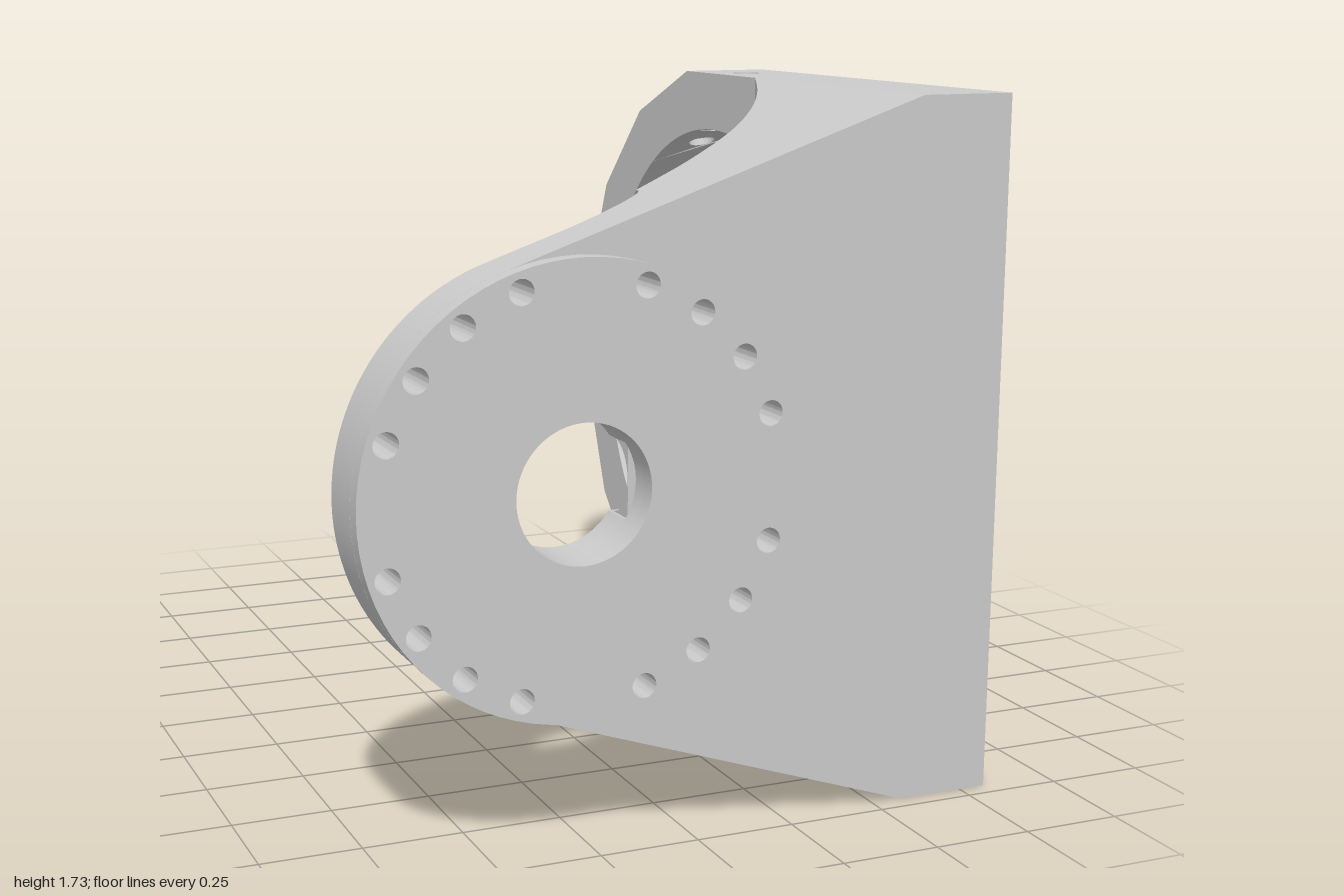
import * as THREE from 'three';
import { toCreasedNormals } from 'three/addons/utils/BufferGeometryUtils.js';
import { ParametricGeometry } from 'three/addons/geometries/ParametricGeometry.js';

const PI = Math.PI;
const H = 0.865;                       // half height
const XO = 0.82, XI = 0.58, XF = 0.77; // side plate: outer face, inner face, pocket floor
const ZB = 0.82, ZF = 0.955;           // front plate: back and front faces
const CX = -0.295, RD = 0.535, RB = 0.165; // flange centre, radius, bore
const CZ = -0.135, RP = 0.71;          // pocket centre and radius
const SLOT = 0.18, SR = 0.08, SZ = 0.585;  // side slot
const GR = 0.09, GZ = 0.912;           // cable groove radius and layer depth
const CAV = 0.65, FR = 0.085;          // cavity half height and fillet
const HALF = PI / 16, T = H * Math.tan(HALF); // half of one rim facet

const tilt = Math.atan2(H, XI - CX) - Math.asin(RD / Math.hypot(H, XI - CX));
const slopeY = (x) => H - (XI - x) * Math.tan(tilt);

const material = new THREE.MeshStandardMaterial({ color: 0xcccccc });
const thin = new THREE.MeshStandardMaterial({ color: 0xcccccc, side: THREE.DoubleSide });

function mesh(name, geometry, mat = material) {
  const m = new THREE.Mesh(geometry, mat);
  m.name = name;
  return m;
}

const extrude = (shape, depth) =>
  new THREE.ExtrudeGeometry(shape, { depth, bevelEnabled: false, curveSegments: 40 });

// Extrude along z between two planes
function alongZ(shape, z0, z1) {
  return toCreasedNormals(extrude(shape, z1 - z0).translate(0, 0, z0), 0.3);
}

// Extrude along x; shape coordinates are (-z, y)
function alongX(shape, x0, x1) {
  return toCreasedNormals(extrude(shape, x1 - x0).rotateY(PI / 2).translate(x0, 0, 0), 0.3);
}

function circle(x, y, r) {
  return new THREE.Path().absarc(x, y, r, 0, PI * 2, false);
}

function addBoltHoles(shape) {
  for (let i = 0; i < 20; i++) {
    if (i % 5 === 0) continue;
    const a = i * PI / 10;
    shape.holes.push(circle(CX + 0.489 * Math.cos(a), 0.489 * Math.sin(a), 0.03));
  }
  return shape;
}

// Front plate outline: flange circle joined tangentially to the side plate
function plateShape(notched) {
  const s = new THREE.Shape();
  s.moveTo(XO, notched ? GR : -H);
  s.lineTo(XO, H);
  s.lineTo(XI, H);
  s.absarc(CX, 0, RD, PI / 2 + tilt, 1.5 * PI - tilt, false);
  s.lineTo(XI, -H);
  if (notched) {
    const b = Math.asin(GR / RB);
    s.lineTo(XO, -H);
    s.lineTo(XO, -GR);
    s.absarc(CX, 0, RB, -b, b, true);
  } else {
    s.holes.push(circle(CX, 0, RB));
  }
  return addBoltHoles(s);
}

function frontPlate() {
  const g = new THREE.Group();
  g.name = 'frontPlate';
  g.add(mesh('groovedLayer', alongZ(plateShape(true), ZB, GZ)));
  g.add(mesh('plateLayer', alongZ(plateShape(false), GZ, ZF)));
  const disc = new THREE.Shape().absarc(CX, 0, RD, 0, PI * 2, false);
  disc.holes.push(circle(CX, 0, RB));
  g.add(mesh('flange', alongZ(addBoltHoles(disc), ZF, 1)));

  // Rounded bed of the cable groove
  const bed = new THREE.Shape();
  bed.moveTo(-ZB, GR);
  bed.lineTo(-GZ, GR);
  bed.lineTo(-GZ, -GR);
  bed.lineTo(-ZB, -GR);
  bed.absarc(-ZB, 0, GR, -PI / 2, -1.5 * PI, true);
  g.add(mesh('cableGroove', alongX(bed, -0.15, XO)));
  return g;
}

// Thin outer wall of the side plate, with slot and round opening
function sideWall() {
  const s = new THREE.Shape();
  const in0 = -ZB + SR, in1 = -SZ - SR, k = SLOT - SR;
  s.moveTo(-ZB, -k);
  s.lineTo(-ZB, -H);
  for (let i = 0; i <= 8; i++) {
    const a = -PI / 2 + HALF + i * PI / 8, r = H / Math.cos(HALF);
    if (i < 8) s.lineTo(-CZ + r * Math.cos(a), r * Math.sin(a));
  }
  s.lineTo(-ZB, H);
  s.lineTo(-ZB, k);
  s.absarc(in0, k, SR, PI, PI / 2, true);
  s.absarc(in1, k, SR, PI / 2, 0, true);
  s.absarc(in1, -k, SR, 0, -PI / 2, true);
  s.absarc(in0, -k, SR, -PI / 2, -PI, true);
  s.holes.push(circle(-CZ, 0, RB));
  return mesh('sideWall', alongX(s, XF, XO));
}

// Solid between pocket, slot and front plate (upper half)
function rimBlock() {
  const s = new THREE.Shape();
  const k = SLOT - SR;
  s.moveTo(-CZ - T, H);
  s.lineTo(-ZB, H);
  s.lineTo(-ZB, k);
  s.absarc(-ZB + SR, k, SR, PI, PI / 2, true);
  s.absarc(-CZ, 0, RP, PI - Math.asin(SLOT / RP), PI / 2 + HALF, true);
  return mesh('rimBlock', alongX(s, XI, XF));
}

// One rim facet: flat outside, curved inside, with a radial hole
function rimFacetGeometry() {
  const pts = [], n = 8;
  for (let i = 0; i <= n; i++) pts.push(new THREE.Vector2(XF, -T + 2 * T * i / n));
  for (let i = n; i >= 0; i--) pts.push(new THREE.Vector2(XI, -T + 2 * T * i / n));
  const s = new THREE.Shape(pts);
  s.holes.push(circle(0.68, 0, 0.037));
  let g = extrude(s, 1);
  const p = g.attributes.position;
  const inner = [];
  for (let i = 0; i < p.count; i++) {
    const v = p.getY(i), isInner = p.getZ(i) < 0.5;
    if (isInner && g.attributes.normal.getZ(i) < -0.5) inner.push(i);
    let t = v, r = H;
    if (isInner) {
      const m = Math.abs(v), e = 0.05, a0 = Math.asin(e / RP);
      const a = m < e ? Math.asin(m / RP) : a0 + (HALF - a0) * (m - e) / (T - e);
      t = Math.sign(v) * RP * Math.sin(a);
      r = RP * Math.cos(a);
    }
    p.setXYZ(i, p.getX(i), r, -t);
  }
  g = toCreasedNormals(g, 0.3);
  const q = g.attributes.position;
  for (const i of inner) g.attributes.normal.setXYZ(i, 0, -q.getY(i) / RP, -q.getZ(i) / RP);
  return g;
}

// Tapered gusset with a swept back edge, plus the cavity fillet (upper half)
function gusset() {
  const g = new THREE.Group();
  const curve = [[0.505, 0.265], [0.425, 0.395], [0.33, 0.51], [0.23, 0.595], [0.095, 0.675], [-0.055, 0.735]];
  const s = new THREE.Shape();
  s.moveTo(XI, -ZB);
  s.lineTo(XI, -0.11);
  s.splineThru(curve.map(([x, z]) => new THREE.Vector2(x, -z)));
  s.lineTo(-0.055, -ZB);
  const body = extrude(s, 1).rotateX(-PI / 2);
  const p = body.attributes.position;
  for (let i = 0; i < p.count; i++) p.setY(i, p.getY(i) > 0.5 ? slopeY(p.getX(i)) : CAV);
  g.add(mesh('gussetBody', toCreasedNormals(body, 0.3)));

  const x0 = XI - (H - CAV + FR) / Math.tan(tilt); // where the fillet runs out
  const section = (x, v) => {
    const h = Math.min(CAV, slopeY(x));
    const a = v * Math.asin(THREE.MathUtils.clamp((h - CAV + FR) / FR, 0, 1));
    return [CAV - FR + FR * Math.sin(a), ZB - FR + FR * Math.cos(a)];
  };
  const fillet = (u, v, out) => {
    const x = x0 + (XI - x0) * u, [y, z] = section(x, v);
    out.set(x, y, z);
  };
  const filletEdge = (u, v, out) => {
    const x = x0 + (-0.05 - x0) * u, [y, z] = section(x, 1);
    out.set(x, y, z + (ZB - z) * v);
  };
  g.add(mesh('cavityFillet', new ParametricGeometry(fillet, 60, 12), thin));
  const edge = new ParametricGeometry(filletEdge, 24, 1).toNonIndexed();
  edge.computeVertexNormals();
  g.add(mesh('filletEdge', edge, thin));
  return g;
}

export function createModel() {
  const model = new THREE.Group();
  model.name = 'angleBracket';
  model.add(frontPlate(), sideWall());

  const facet = rimFacetGeometry();
  for (let k = 0; k <= 8; k++) {
    const m = mesh('rimFacet', facet);
    m.position.z = CZ;
    m.rotation.x = -k * PI / 8;
    model.add(m);
  }

  // Upper and lower halves
  for (const side of [1, -1]) {
    const half = new THREE.Group();
    half.name = side > 0 ? 'upperGusset' : 'lowerGusset';
    half.add(rimBlock(), gusset());
    half.scale.y = side;
    model.add(half);
  }
  model.position.y = H;
  const root = new THREE.Group();
  root.name = 'bracket';
  root.add(model);
  return root;
}
